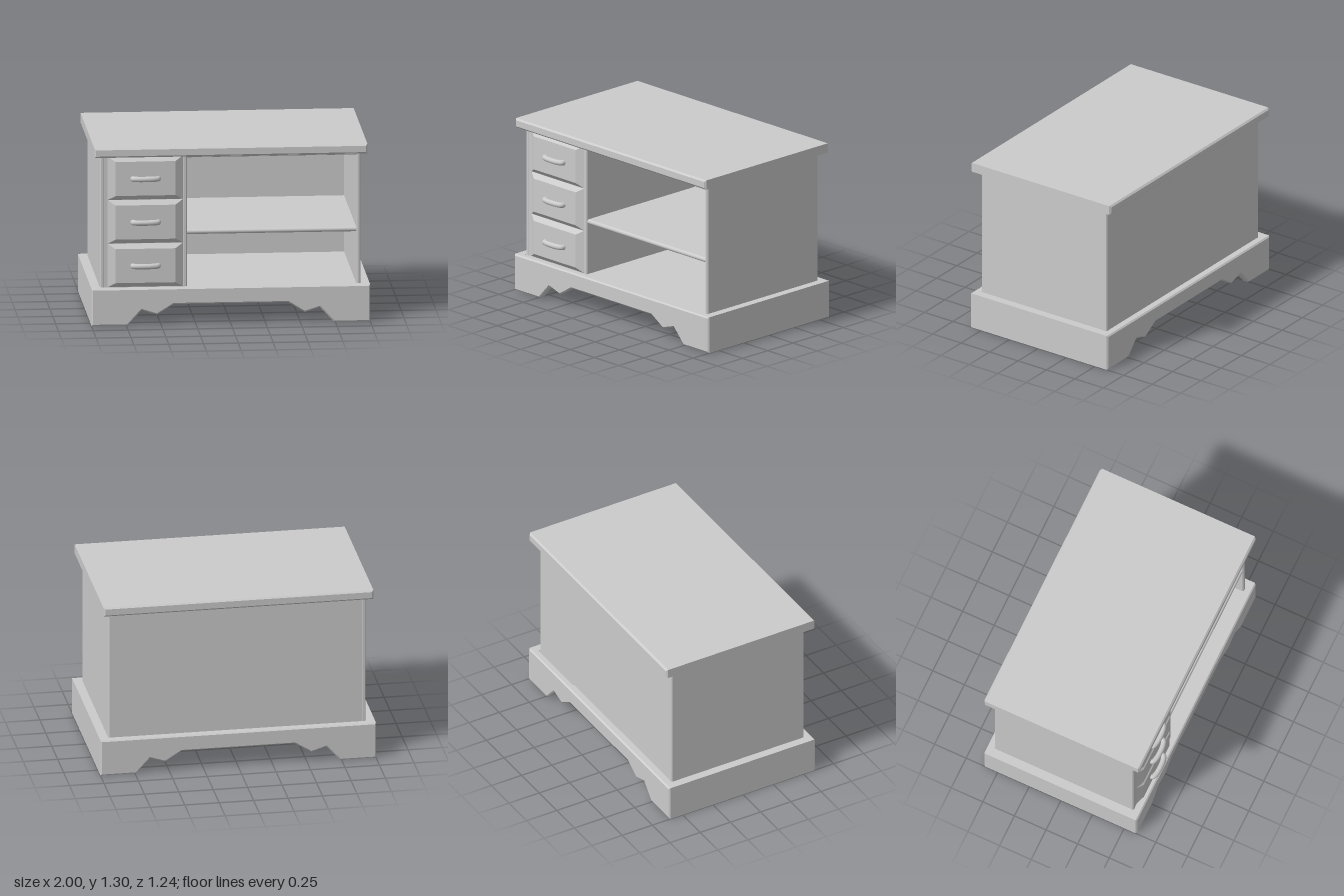
import * as THREE from 'three';

const material = new THREE.MeshStandardMaterial({ color: 0xcccccc });

function add(parent, name, geometry, x = 0, y = 0, z = 0) {
  const mesh = new THREE.Mesh(geometry, material);
  mesh.name = name;
  mesh.position.set(x, y, z);
  parent.add(mesh);
  return mesh;
}

// Extrudes an outline from z0 to z1 with chamfered edges that stay inside it
function chamferedPlate(points, z0, z1, c) {
  const shape = new THREE.Shape(points.map(([x, y]) => new THREE.Vector2(x, y)));
  const geometry = new THREE.ExtrudeGeometry(shape, {
    depth: z1 - z0 - 2 * c, bevelEnabled: true, bevelSegments: 1,
    bevelSize: c, bevelThickness: c, bevelOffset: -c,
  });
  return geometry.translate(0, 0, z0 + c);
}

// Chamfered board between two corners
const board = (x0, x1, y0, y1, z0, z1, c) =>
  chamferedPlate([[x0, y0], [x1, y0], [x1, y1], [x0, y1]], z0, z1, c);

// Plain box between two corners
const box = (x0, x1, y0, y1, z0, z1) =>
  new THREE.BoxGeometry(x1 - x0, y1 - y0, z1 - z0)
    .translate((x0 + x1) / 2, (y0 + y1) / 2, (z0 + z1) / 2);

// Box whose front face is drawn in to make a raised panel
function raisedPanel(w, h, d, insetX, insetY) {
  const geometry = new THREE.BoxGeometry(w, h, d);
  const p = geometry.attributes.position;
  for (let i = 0; i < p.count; i++) {
    if (p.getZ(i) > 0) {
      p.setX(i, p.getX(i) - Math.sign(p.getX(i)) * insetX);
      p.setY(i, p.getY(i) - Math.sign(p.getY(i)) * insetY);
    }
  }
  geometry.computeVertexNormals();
  return geometry;
}

export function createModel() {
  const model = new THREE.Group();
  model.name = 'mediaCabinet';

  // Plinth: cut-out aprons front and back, plain sides, floor
  const plinth = new THREE.Group();
  plinth.name = 'plinth';
  model.add(plinth);
  const half = [[0.41, 0.15], [0.53, 0.075], [0.64, 0.11], [0.74, 0], [1, 0], [1, 0.27]];
  const outline = [...half, ...half.map(([x, y]) => [-x, y]).reverse()];
  add(plinth, 'frontApron', chamferedPlate(outline, 0.54, 0.6, 0.01));
  add(plinth, 'backApron', chamferedPlate(outline, -0.61, -0.55, 0.01));
  for (const s of [-1, 1]) {
    add(plinth, s > 0 ? 'leftPlinthSide' : 'rightPlinthSide',
      board(s * 0.97 - 0.03, s * 0.97 + 0.03, 0, 0.27, -0.595, 0.585, 0.01));
  }
  add(plinth, 'floor', box(-0.96, 0.96, 0.23, 0.268, -0.58, 0.57));

  // Carcass
  const carcass = new THREE.Group();
  carcass.name = 'carcass';
  model.add(carcass);
  add(carcass, 'rightSide', board(-0.935, -0.905, 0.255, 1.24, -0.555, 0.545, 0.008));
  add(carcass, 'leftSide', board(0.905, 0.935, 0.255, 1.24, -0.555, 0.545, 0.008));
  add(carcass, 'divider', board(-0.34, -0.31, 0.255, 1.24, -0.54, 0.545, 0.008));
  add(carcass, 'back', box(-0.925, 0.925, 0.26, 1.235, -0.553, -0.53));
  add(carcass, 'topRail', board(-0.33, 0.92, 1.21, 1.24, -0.54, 0.54, 0.006));
  add(carcass, 'drawerCase', box(-0.925, -0.33, 0.26, 1.235, -0.54, 0.542));

  // Shelf with a rounded nose
  add(carcass, 'shelf', box(-0.32, 0.915, 0.645, 0.68, -0.54, 0.52));
  const nose = new THREE.CylinderGeometry(0.0175, 0.0175, 1.225, 16).rotateZ(Math.PI / 2);
  add(carcass, 'shelfNose', nose, 0.2975, 0.6625, 0.52);

  // Drawers with bowed handles
  const grip = new THREE.CatmullRomCurve3([
    [-0.09, 0.56], [-0.088, 0.585], [-0.06, 0.597], [0, 0.602],
    [0.06, 0.597], [0.088, 0.585], [0.09, 0.56],
  ].map(([x, z]) => new THREE.Vector3(x, 0, z)));
  const gripGeometry = new THREE.TubeGeometry(grip, 32, 0.02, 12);
  for (let i = 0; i < 3; i++) {
    const drawer = new THREE.Group();
    drawer.name = 'drawer' + (i + 1);
    drawer.position.set(-0.61, 0.43 + i * 0.319, 0);
    model.add(drawer);
    add(drawer, 'drawerFront', raisedPanel(0.54, 0.317, 0.03, 0.055, 0.034), 0, 0, 0.557);
    add(drawer, 'handle', gripGeometry);
  }

  // Overhanging top
  add(model, 'top', board(-0.98, 0.98, 1.23, 1.3, -0.62, 0.61, 0.012));
  return model;
}
